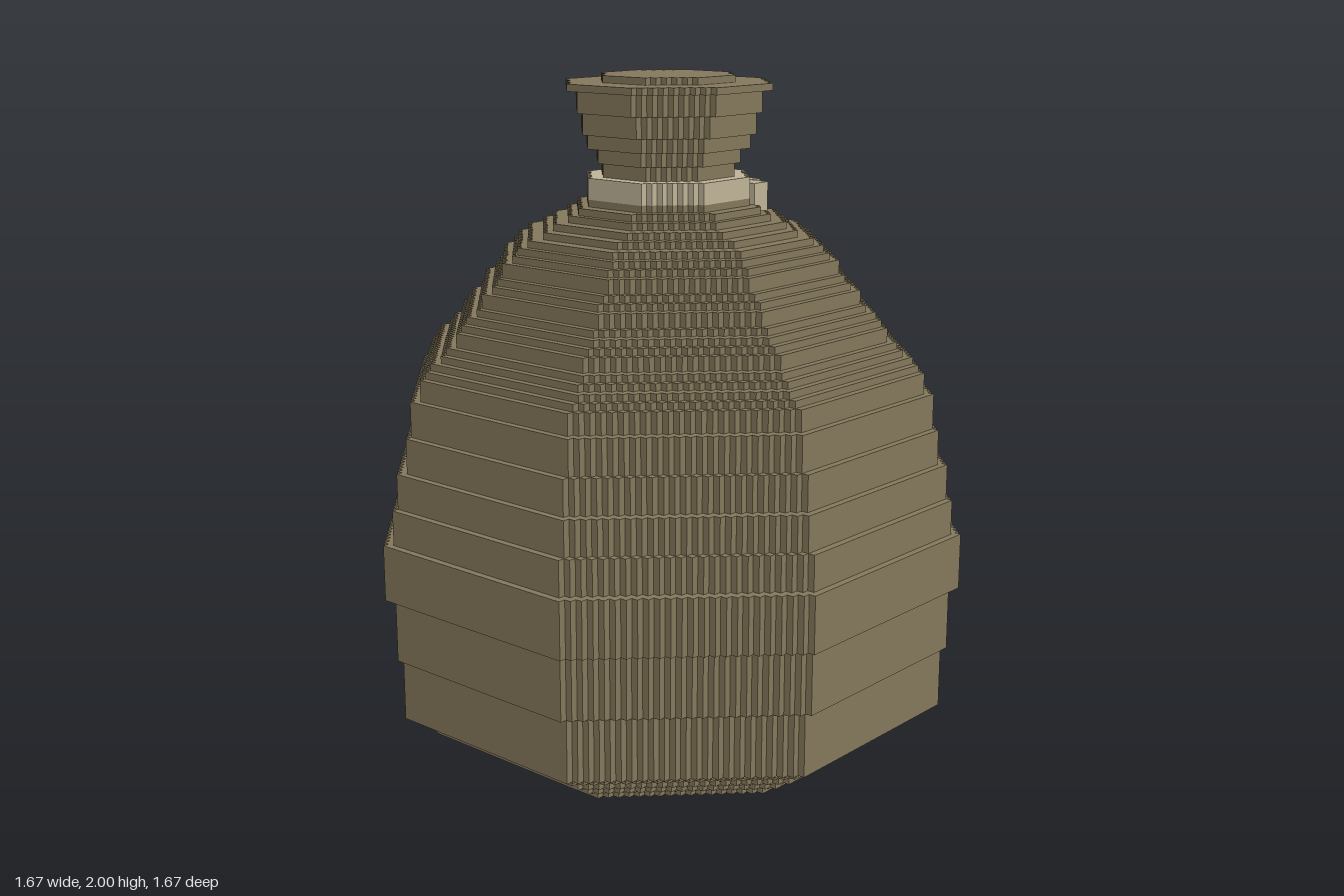
import * as THREE from 'three';

const V = 1 / 48; // edge of one voxel

// Octagon with stair-stepped diagonals; a is the half width in voxels
function steppedOctagon(a) {
  const b = Math.round(a * Math.tan(Math.PI / 8));
  const corner = [[a, b]];
  for (let x = a, z = b; x > b; x--, z++) {
    corner.push([x - 1, z]);
    if (x - 1 > b) corner.push([x - 1, z + 1]);
  }
  corner.push([b, a]);
  const points = [];
  for (let q = 0; q < 4; q++) {
    const c = Math.round(Math.cos(q * Math.PI / 2)), s = Math.round(Math.sin(q * Math.PI / 2));
    for (const [x, z] of corner) {
      const p = new THREE.Vector2((x * c - z * s) * V, (x * s + z * c) * V);
      if (!points.length || !points[points.length - 1].equals(p)) points.push(p);
    }
  }
  return new THREE.Shape(points);
}

// Stack of stepped slabs; each layer is [bottom, half width] in voxels
function stack(name, layers, top, material) {
  const group = new THREE.Group();
  group.name = name;
  layers.forEach(([y, a], i) => {
    const end = i + 1 < layers.length ? layers[i + 1][0] : top;
    const geometry = new THREE.ExtrudeGeometry(steppedOctagon(a), { depth: (end - y) * V, bevelEnabled: false });
    geometry.rotateX(-Math.PI / 2);
    const mesh = new THREE.Mesh(geometry, material);
    mesh.position.y = y * V;
    mesh.name = name + 'Layer';
    group.add(mesh);
  });
  return group;
}

// Box between two voxel corners
function block(name, [x0, y0, z0], [x1, y1, z1], material) {
  const mesh = new THREE.Mesh(new THREE.BoxGeometry((x1 - x0) * V, (y1 - y0) * V, (z1 - z0) * V), material);
  mesh.position.set((x0 + x1) / 2 * V, (y0 + y1) / 2 * V, (z0 + z1) / 2 * V);
  mesh.name = name;
  return mesh;
}

export function createModel() {
  const cloth = new THREE.MeshStandardMaterial({ color: 0x85795c });
  cloth.name = 'sackcloth';
  const cord = new THREE.MeshStandardMaterial({ color: 0xc2b699 });
  cord.name = 'cord';

  const model = new THREE.Group();
  model.name = 'tiedSack';

  // Rounded base, bulging belly and shoulders
  const base = [28, 29, 31, 32, 34, 35, 36].map((a, i) => [i, a]);
  const belly = [[7, 38], [16, 39], [25, 40], [33, 39], [38, 38], [43, 37], [48, 36], [53, 35]];
  const shoulders = [34, 33, 32, 31, 30, 30, 29, 28, 27, 26, 26, 25, 24, 23, 23, 22, 21, 20, 18, 16, 14, 13, 11]
    .map((a, i) => [56 + i, a]);
  model.add(stack('sackBody', [...base, ...belly, ...shoulders], 79, cloth));

  // Cord round the neck with two hanging ends
  model.add(stack('neckCord', [[79, 11]], 82, cord));
  model.add(block('cordEndFront', [6, 77, 8], [9, 81, 11], cord));
  model.add(block('cordEndFrontTip', [8, 76, 9], [9, 77, 11], cord));
  model.add(block('cordEndSide', [9, 77, 5], [11, 81, 8], cord));

  // Flared mouth with a small raised top
  model.add(stack('sackMouth', [[82, 9], [84, 10], [86, 11], [88, 12], [91, 13], [94, 14], [95, 9]], 96, cloth));
  return model;
}
